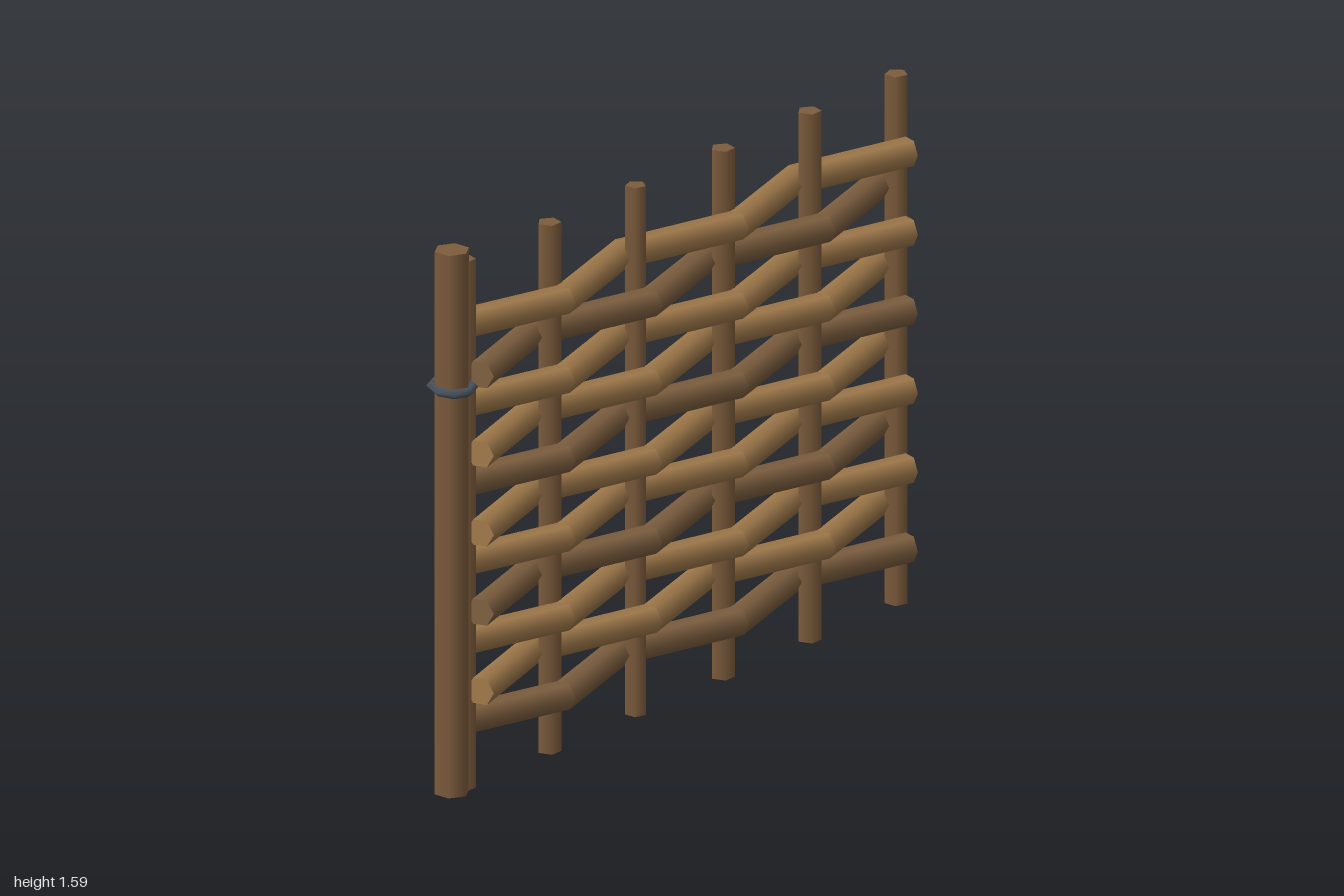
import * as THREE from 'three';
import { mergeGeometries } from 'three/addons/utils/BufferGeometryUtils.js';

const STAKE_X = [-0.88, -0.515, -0.145, 0.225, 0.595, 0.967];
const SWING = 0.052; // how far a rod bows in front of or behind the stakes
const ROD = 0.0425;

function material(name, color) {
  const m = new THREE.MeshStandardMaterial({ color });
  m.name = name;
  return m;
}

// One zigzag rod of six-sided pieces, mitred at the stakes and cut square at both ends
function rodGeometry(side) {
  const xs = [-0.872, ...STAKE_X.slice(1, 5), 0.962];
  const last = xs.length - 2;
  const pieces = [];
  for (let i = 0; i <= last; i++) {
    const length = xs[i + 1] - xs[i];
    const z0 = side * SWING * (i % 2 ? 1 : -1);
    const slope = (-2 * z0) / length;
    const isEnd = i === 0 || i === last;
    const g = new THREE.CylinderGeometry(ROD, ROD, length, 6, 1, !isEnd);
    g.rotateZ(Math.PI / 2);
    const p = g.attributes.position;
    for (let v = 0; v < p.count; v++) {
      const x = p.getX(v);
      if ((i === 0 && x < 0) || (i === last && x > 0)) p.setX(v, x - slope * p.getZ(v));
    }
    g.applyMatrix4(new THREE.Matrix4().set(
      1, 0, 0, (xs[i] + xs[i + 1]) / 2,
      0, 1, 0, 0,
      slope, 0, 1, 0,
      0, 0, 0, 1));
    pieces.push(g);
  }
  return mergeGeometries(pieces);
}

export function createModel() {
  const group = new THREE.Group();
  const stakeWood = material('stakeWood', 0x7d5c3c);
  const lightWood = material('lightRodWood', 0xa17a4b);
  const darkWood = material('darkRodWood', 0x7f6040);
  const strapGrey = material('strapGrey', 0x4a5460);

  const add = (name, geometry, mat, x, y, z = 0) => {
    const mesh = new THREE.Mesh(geometry, mat);
    mesh.name = name;
    mesh.position.set(x, y, z);
    group.add(mesh);
    return mesh;
  };

  // Upright stakes
  const radii = [0.034, 0.034, 0.03, 0.034, 0.034, 0.033];
  const turns = [0.63, 0.63, 0.3, 0.63, 0.63, 1.57];
  STAKE_X.forEach((x, i) => {
    const g = new THREE.CylinderGeometry(radii[i], radii[i], 1.55, 5);
    add('stake', g, stakeWood, x, 0.775).rotation.y = turns[i];
  });

  // Hinge post and the strap tied around it
  add('post', new THREE.CylinderGeometry(0.05, 0.05, 1.59, 6), stakeWood, -0.93, 0.795);
  const ring = new THREE.TorusGeometry(0.058, 0.014, 4, 8);
  ring.rotateX(Math.PI / 2);
  add('strap', ring, strapGrey, -0.928, 1.19).rotation.x = 0.08;

  // Woven rods, alternating in front of and behind the stakes
  const weave = [rodGeometry(1), rodGeometry(-1)];
  for (let row = 0; row < 11; row++) {
    add('wovenRod', weave[row % 2], row % 3 ? lightWood : darkWood, 0, 0.175 + row * 0.116);
  }
  return group;
}
